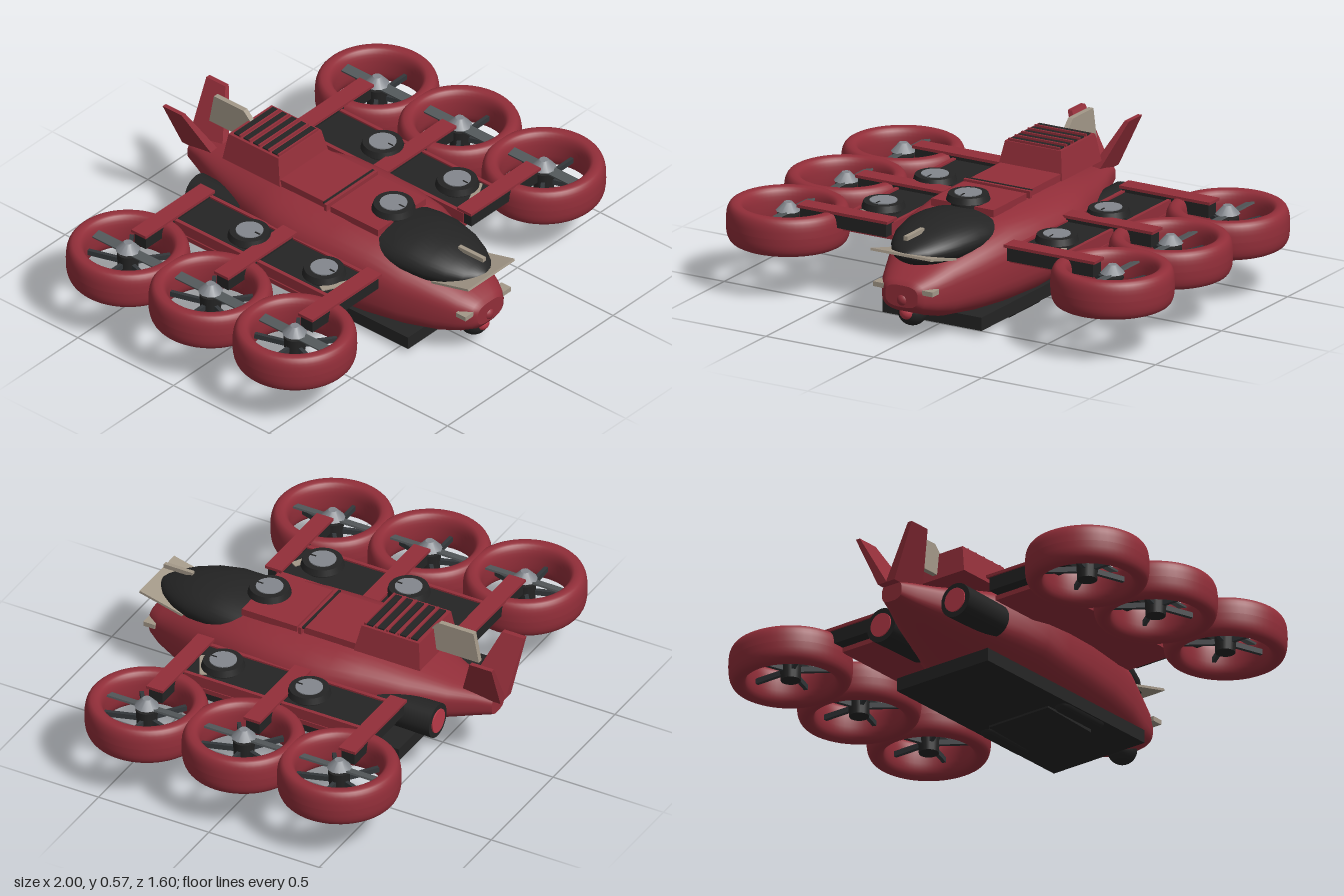
import * as THREE from 'three';

const mat = (name, color) => {
  const m = new THREE.MeshStandardMaterial({ color });
  m.name = name;
  return m;
};

// Closed loft along z from rows of [z, half width, bottom y, top y]
function loft(rows, power, sides = 40) {
  const pos = [], idx = [];
  const ring = ([z, w, y0, y1]) => {
    for (let j = 0; j < sides; j++) {
      const a = (j / sides) * Math.PI * 2, c = Math.cos(a), s = Math.sin(a);
      const bend = (v) => Math.sign(v) * Math.pow(Math.abs(v), 2 / power);
      pos.push(w * bend(c), (y0 + y1) / 2 + ((y1 - y0) / 2) * bend(s), z);
    }
  };
  rows.forEach(ring);
  for (let i = 0; i < rows.length - 1; i++) {
    for (let j = 0; j < sides; j++) {
      const k = (j + 1) % sides, a = i * sides, b = a + sides;
      idx.push(a + j, b + j, a + k, b + j, b + k, a + k);
    }
  }
  // end caps use their own vertices so the rims stay sharp
  [rows[0], rows[rows.length - 1]].forEach((row, end) => {
    const start = pos.length / 3;
    ring(row);
    pos.push(0, (row[2] + row[3]) / 2, row[0]);
    for (let j = 0; j < sides; j++) {
      const p = start + j, q = start + ((j + 1) % sides);
      idx.push(start + sides, end ? q : p, end ? p : q);
    }
  });
  const g = new THREE.BufferGeometry();
  g.setAttribute('position', new THREE.Float32BufferAttribute(pos, 3));
  g.setIndex(idx);
  g.computeVertexNormals();
  return g;
}

// Six-sided solid whose corners are placed by a rule of the corner signs
function block(rule) {
  const g = new THREE.BoxGeometry(2, 2, 2), p = g.attributes.position;
  for (let i = 0; i < p.count; i++) p.setXYZ(i, ...rule(p.getX(i), p.getY(i), p.getZ(i)));
  g.computeVertexNormals();
  return g;
}

export function createModel() {
  const model = new THREE.Group();
  model.name = 'multiRotorAircraft';
  const red = mat('hull red', 0x922e39), bright = mat('bright red', 0xb93a48);
  const dark = mat('black panel', 0x242424), strutGrey = mat('strut grey', 0x33373a);
  const bladeGrey = mat('blade grey', 0x54595b), steel = mat('steel', 0x83878d);
  const tan = mat('pale tan', 0xa39888);

  const add = (name, geo, m, x = 0, y = 0, z = 0, parent = model) => {
    const mesh = new THREE.Mesh(geo, m);
    mesh.name = name;
    mesh.position.set(x, y, z);
    parent.add(mesh);
    return mesh;
  };
  const box = (name, m, w, h, d, x, y, z, parent) =>
    add(name, new THREE.BoxGeometry(w, h, d), m, x, y, z, parent);
  const cyl = (name, m, r0, r1, h, x, y, z, parent, n = 28) =>
    add(name, new THREE.CylinderGeometry(r0, r1, h, n), m, x, y, z, parent);

  // Fuselage and canopy
  add('fuselage', loft([
    [0.79, 0.075, 0.155, 0.245], [0.775, 0.1, 0.135, 0.265], [0.72, 0.135, 0.11, 0.29],
    [0.64, 0.17, 0.085, 0.325], [0.5, 0.23, 0.07, 0.375], [0.33, 0.275, 0.06, 0.425],
    [0.15, 0.3, 0.06, 0.435], [0, 0.305, 0.07, 0.435], [-0.12, 0.295, 0.1, 0.435],
    [-0.24, 0.255, 0.125, 0.425], [-0.42, 0.19, 0.16, 0.385], [-0.58, 0.12, 0.195, 0.35],
    [-0.68, 0.075, 0.22, 0.335], [-0.75, 0.05, 0.24, 0.32]], 2.9), red);
  add('canopy', loft([
    [0.77, 0.012, 0.35, 0.37], [0.755, 0.048, 0.332, 0.382], [0.72, 0.088, 0.313, 0.4],
    [0.66, 0.128, 0.298, 0.423], [0.58, 0.162, 0.285, 0.445], [0.48, 0.182, 0.28, 0.458],
    [0.4, 0.185, 0.28, 0.455], [0.33, 0.182, 0.28, 0.445]], 2), dark);
  const visor = box('noseVisor', tan, 0.28, 0.01, 0.2, 0, 0.35, 0.7);
  visor.rotation.x = -0.25;
  box('canopyProbe', tan, 0.018, 0.018, 0.13, 0, 0.432, 0.695);

  // Spine panels with seams
  box('frontSpinePanel', red, 0.29, 0.03, 0.25, 0, 0.438, 0.205);
  box('rearSpinePanel', red, 0.28, 0.03, 0.24, 0, 0.442, -0.07);
  box('spineSeam', dark, 0.3, 0.006, 0.01, 0, 0.458, 0.05);
  box('spineBar', red, 0.31, 0.03, 0.014, 0, 0.444, 0.062);

  // Rear intake housing with slats
  add('intakeHousing', block((x, y, z) => [
    x * (y > 0 ? 0.13 : 0.15), y > 0 ? 0.545 : 0.43,
    z > 0 ? (y > 0 ? -0.205 : -0.18) : (y > 0 ? -0.465 : -0.48)]), red);
  for (let i = 0; i < 5; i++) {
    box('intakeSlot', dark, 0.235, 0.008, 0.028, 0, 0.547, -0.235 - i * 0.05);
    box('intakeSlat', red, 0.24, 0.012, 0.008, 0, 0.549, -0.215 - i * 0.05);
  }

  // Central fin
  const finShape = new THREE.Shape([[0.46, 0.45], [0.67, 0.45], [0.645, 0.58], [0.49, 0.58], [0.45, 0.54]]
    .map(([a, b]) => new THREE.Vector2(a, b)));
  const finGeo = new THREE.ExtrudeGeometry(finShape, { depth: 0.022, bevelEnabled: false });
  finGeo.translate(0, 0, -0.011).rotateY(Math.PI / 2);
  add('centralFin', finGeo, tan);

  // Chin sensor turret
  add('sensorBall', new THREE.SphereGeometry(0.06, 24, 16), dark, 0, 0.118, 0.705);
  add('sensorLens', new THREE.SphereGeometry(0.032, 20, 14), bright, 0, 0.123, 0.745);
  add('noseLight', new THREE.SphereGeometry(0.03, 20, 14), red, 0, 0.183, 0.77);

  // Undertray
  add('undertray', block((x, y, z) => [
    x * 0.23, y > 0 ? 0.085 : 0.03, z > 0 ? 0.56 : -0.43]), dark);
  add('bellyWedge', block((x, y, z) => [
    x * 0.15, y > 0 ? 0.035 : (z > 0 ? 0.012 : 0.022), z > 0 ? 0.32 : 0.05]), dark);

  // Round lift fan cover
  const liftFan = (x, y, z) => {
    const g = new THREE.Group();
    g.name = 'liftFan';
    g.position.set(x, y, z);
    model.add(g);
    cyl('fanBase', dark, 0.07, 0.07, 0.04, 0, -0.02, 0, g);
    cyl('fanRim', dark, 0.08, 0.088, 0.026, 0, 0.01, 0, g);
    cyl('fanDisc', steel, 0.055, 0.055, 0.006, 0, 0.024, 0, g);
    box('fanMark', dark, 0.006, 0.004, 0.025, 0, 0.027, 0.042, g);
  };
  liftFan(0, 0.466, 0.285);

  // Duct profile: rounded, taller than wide
  const ductPts = [];
  for (let i = 0; i <= 28; i++) {
    const a = -(i / 28) * Math.PI * 2, c = Math.cos(a), s = Math.sin(a);
    ductPts.push(new THREE.Vector2(
      0.209 + 0.038 * Math.sign(c) * Math.pow(Math.abs(c), 0.75),
      0.08 * Math.sign(s) * Math.pow(Math.abs(s), 0.75)));
  }
  ductPts.reverse();
  const ductGeo = new THREE.LatheGeometry(ductPts, 56);

  const rotor = (s, z) => {
    const g = new THREE.Group();
    g.name = 'rotor';
    g.position.set(s * 0.752, 0.28, z);
    model.add(g);
    add('duct', ductGeo, red, 0, 0, 0, g);
    cyl('motor', dark, 0.045, 0.04, 0.09, 0, -0.015, 0, g, 16);
    cyl('spinner', steel, 0.018, 0.05, 0.035, 0, 0.062, 0, g, 12);
    const blade = box('blade', bladeGrey, 0.042, 0.008, 0.34, 0, 0.04, 0, g);
    blade.rotation.z = 0.25;
    for (let i = 0; i < 5; i++) {
      const a = (s > 0 ? 0 : Math.PI) + (i * Math.PI * 2) / 5;
      const strut = box('strut', strutGrey, 0.18, 0.022, 0.016,
        Math.cos(a) * 0.1, -0.015, Math.sin(a) * 0.1, g);
      strut.rotation.y = -a;
    }
  };

  for (const s of [1, -1]) {
    // Wing deck between fuselage and rotors
    box('wingBase', red, 0.24, 0.02, 0.84, s * 0.39, 0.29, -0.01);
    box('wingDeck', dark, 0.22, 0.04, 0.84, s * 0.39, 0.32, -0.01);
    for (const x of [0.285, 0.498]) box('deckTrim', red, 0.016, 0.05, 0.84, s * x, 0.322, -0.01);
    const strip = box('deckStrip', tan, 0.13, 0.006, 0.03, s * 0.42, 0.342, 0.35);
    strip.rotation.y = s * 0.5;
    for (const z of [-0.12, 0.27]) liftFan(s * 0.402, 0.36, z);

    // Arms and ducted rotors
    for (const z of [0.42, -0.02, -0.452]) {
      box('armBeam', dark, 0.4, 0.058, 0.06, s * 0.48, 0.329, z);
      box('armCover', red, 0.42, 0.012, 0.075, s * 0.48, 0.362, z);
      rotor(s, z);
    }

    // Rear engines
    const engine = new THREE.Group();
    engine.name = 'engine';
    engine.position.set(s * 0.188, 0.25, -0.455);
    engine.rotation.x = -Math.PI / 2;
    model.add(engine);
    cyl('engineBody', dark, 0.072, 0.068, 0.255, 0, 0, 0, engine);
    cyl('engineExhaust', bright, 0.05, 0.05, 0.012, 0, 0.127, 0, engine);

    // V-tail fins
    add('tailFin', block((x, y, z) => y > 0
      ? [s * 0.132 + x * 0.01, 0.53, z > 0 ? -0.7 : -0.8]
      : [s * 0.02 + x * 0.022, 0.31, z > 0 ? -0.61 : -0.785]), red);

    // Undertray runners and nose lamps
    const runner = add('runner', new THREE.CapsuleGeometry(0.038, 0.2, 6, 16), dark, s * 0.188, 0.044, 0.2);
    runner.rotation.x = Math.PI / 2;
    box('noseLamp', tan, 0.05, 0.02, 0.05, s * 0.113, 0.226, 0.755);
  }
  return model;
}
